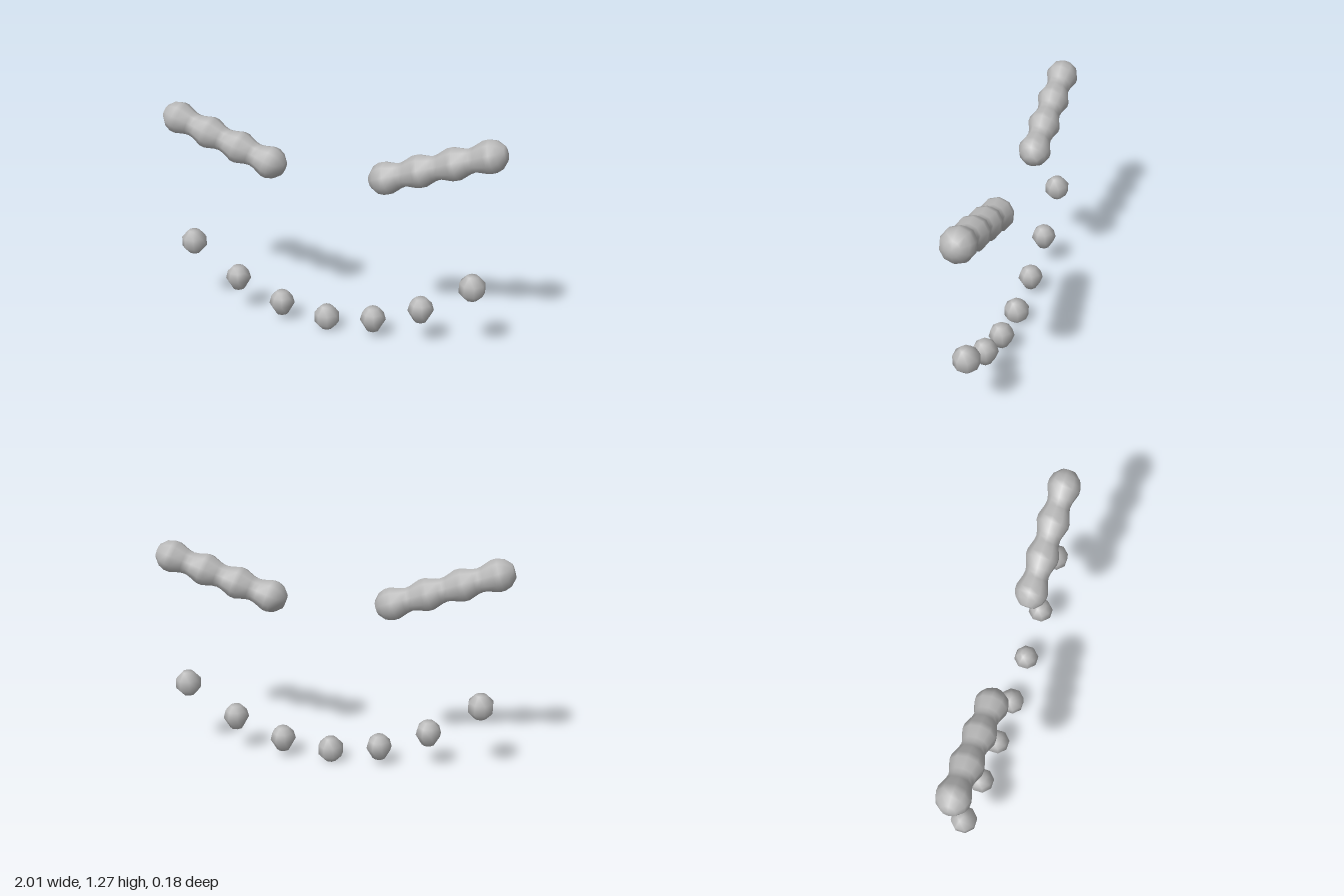
import * as THREE from 'three';
import { mergeVertices } from 'three/addons/utils/BufferGeometryUtils.js';

// Closed low-poly solid of revolution with fully smooth normals.
// Profile points are [radius, height], bottom to top.
function smoothLathe(profile, sides) {
  const widen = 1 / Math.sqrt(Math.cos(Math.PI / sides));
  const points = profile.map(([r, y]) => new THREE.Vector2(r * widen, y));
  const raw = new THREE.LatheGeometry(points, sides, Math.PI / sides);
  raw.deleteAttribute('normal');
  raw.deleteAttribute('uv');
  const geometry = mergeVertices(raw, 1e-4);
  geometry.computeVertexNormals();
  return geometry;
}

export function createModel() {
  const model = new THREE.Group();
  model.name = 'smilingFace';
  const clay = new THREE.MeshStandardMaterial({ color: 0xb8b8b8 });
  clay.name = 'clay grey';

  function add(name, geometry, x, y, parent) {
    const mesh = new THREE.Mesh(geometry, clay);
    mesh.name = name;
    mesh.position.set(x, y, 0);
    parent.add(mesh);
    return mesh;
  }

  // Mouth: seven separate beads along a rising curve
  const mouth = new THREE.Group();
  mouth.name = 'mouth';
  model.add(mouth);
  const evenBead = smoothLathe(
    [[0, -0.07], [0.032, -0.07], [0.07, -0.029], [0.07, 0.029], [0.032, 0.07], [0, 0.07]], 8);
  const taperedBead = smoothLathe(
    [[0, -0.069], [0.036, -0.069], [0.072, -0.004], [0.06, 0.042], [0.032, 0.07], [0, 0.07]], 8);
  const beads = [[0, 0.07, evenBead], [0.285, 0.112, taperedBead],
    [0.567, 0.226, taperedBead], [0.853, 0.415, evenBead]];
  beads.forEach(([x, y, geometry], i) => {
    if (i === 0) add('mouthBeadCentre', geometry, x, y, mouth);
    else {
      add(`mouthBeadLeft${i}`, geometry, x, y, mouth);
      add(`mouthBeadRight${i}`, geometry, -x, y, mouth);
    }
  });

  // Brows: four fused balls in a row, with soft necks between them
  const inner = new THREE.Vector2(0.342, 0.983);
  const outer = new THREE.Vector2(0.906, 1.18);
  const length = inner.distanceTo(outer);
  const step = length / 3;
  const profile = [[0, -0.09], [0.04, -0.086], [0.077, -0.05]];
  for (let i = 0; i < 4; i++) {
    const t = i * step;
    profile.push([0.09, t - 0.015], [0.09, t + 0.015]);
    if (i < 3) profile.push([0.07, t + step * 0.37], [0.066, t + step * 0.5], [0.07, t + step * 0.63]);
  }
  profile.push([0.077, length + 0.052], [0.04, length + 0.088], [0, length + 0.093]);
  const browGeometry = smoothLathe(profile, 10);
  const tilt = Math.atan2(outer.x - inner.x, outer.y - inner.y);
  for (const side of [1, -1]) {
    const brow = add(side > 0 ? 'leftBrow' : 'rightBrow', browGeometry, side * inner.x, inner.y, model);
    brow.rotation.z = -side * tilt;
  }
  return model;
}
